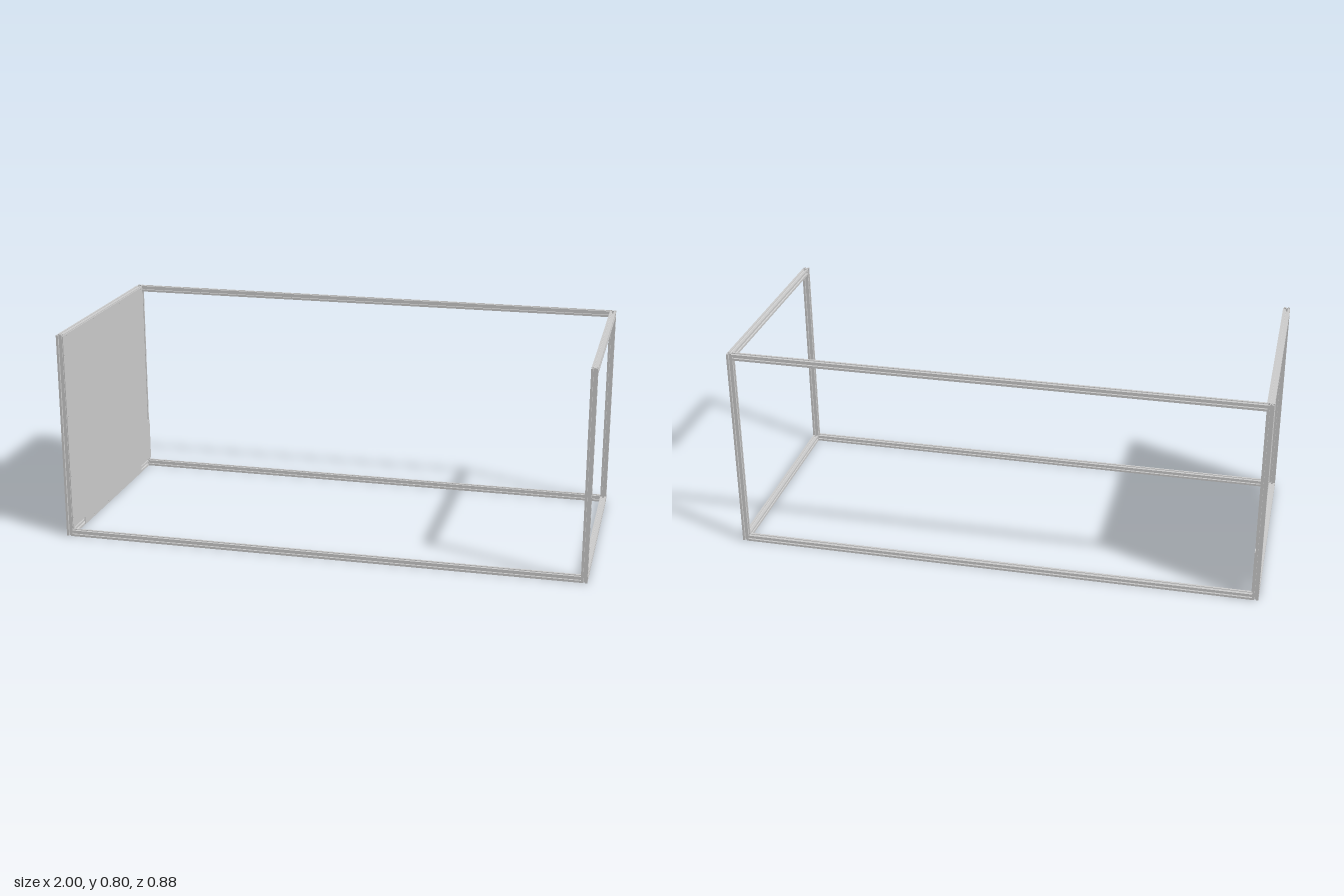
import * as THREE from 'three';

const W = 0.0235;               // width of the square slotted bar
const H = 0.8, X = 1, Z = 0.4375; // outer half sizes and height

const material = new THREE.MeshStandardMaterial({ color: 0xcccccc, flatShading: true });

// Slotted bar cross-section: one side's T-slot, turned four times
function barShape() {
  const side = [[10, -10], [10, -3], [8.2, -3], [8.2, -5.5], [6.7, -5.5], [4, -2.8],
    [4, 2.8], [6.7, 5.5], [8.2, 5.5], [8.2, 3], [10, 3]];
  const points = [];
  for (let i = 0; i < 4; i++) {
    for (const [x, y] of side) {
      points.push(new THREE.Vector2(x, y).multiplyScalar(W / 20).rotateAround(new THREE.Vector2(), i * Math.PI / 2));
    }
  }
  const shape = new THREE.Shape(points);
  shape.holes.push(new THREE.Path().absarc(0, 0, W * 0.125, 0, Math.PI * 2, true));
  return shape;
}

// Bar of a given length, centred and laid along an axis
function bar(name, axis, length, x, y, z) {
  const geometry = new THREE.ExtrudeGeometry(barShape(), { depth: length, bevelEnabled: false, curveSegments: 6 });
  geometry.translate(0, 0, -length / 2);
  if (axis === 'x') geometry.rotateY(Math.PI / 2);
  if (axis === 'y') geometry.rotateX(-Math.PI / 2);
  const mesh = new THREE.Mesh(geometry, material);
  mesh.name = name;
  mesh.position.set(x, y, z);
  return mesh;
}

// Thin end panel, drawn in (z, y), notched round the long rails
function endPanel() {
  const outline = [[0.315, 0.003], [0.315, 0.033], [0.435, 0.033], [0.435, 0.797], [-0.405, 0.797],
    [-0.405, 0.203], [-0.435, 0.203], [-0.435, 0.033], [-0.315, 0.033], [-0.315, 0.003]];
  const shape = new THREE.Shape(outline.map(([z, y]) => new THREE.Vector2(z, y)));
  // Screw holes over the bar slots
  const mid = W / 2;
  const holes = [
    ...[0.4, 0.13, -0.14, -0.39].map(z => [z, H - mid]),
    ...[0.22, 0.075, -0.075, -0.22].map(z => [z, mid]),
    ...[0.07, 0.24, 0.48, 0.72].map(y => [Z - mid, y]),
    ...[0.06, 0.18].map(y => [-Z + mid, y]),
  ];
  for (const [z, y] of holes) {
    shape.holes.push(new THREE.Path().absarc(z, y, 0.003, 0, Math.PI * 2, true));
  }
  const geometry = new THREE.ExtrudeGeometry(shape, { depth: 0.0035, bevelEnabled: false, curveSegments: 6 });
  geometry.rotateY(-Math.PI / 2);
  const mesh = new THREE.Mesh(geometry, material);
  mesh.name = 'endPanel';
  mesh.position.x = -X + W + 0.0035;
  return mesh;
}

export function createModel() {
  const model = new THREE.Group();
  model.name = 'openFrame';
  const low = W / 2, high = H - W / 2;
  const px = X - W / 2, pz = Z - W / 2;

  for (const sx of [-1, 1]) {
    // Corner posts
    for (const sz of [-1, 1]) model.add(bar('cornerPost', 'y', H, sx * px, H / 2, sz * pz));
    // Short end rails
    for (const y of [low, high]) model.add(bar('endRail', 'z', 2 * (Z - W), sx * px, y, 0));
  }

  // Long rails; the upper front stays open
  const length = 2 * (X - W);
  model.add(bar('lowerFrontRail', 'x', length, 0, low, pz));
  model.add(bar('lowerBackRail', 'x', length, 0, low, -pz));
  model.add(bar('upperBackRail', 'x', length, 0, high, -pz));

  model.add(endPanel());
  return model;
}
